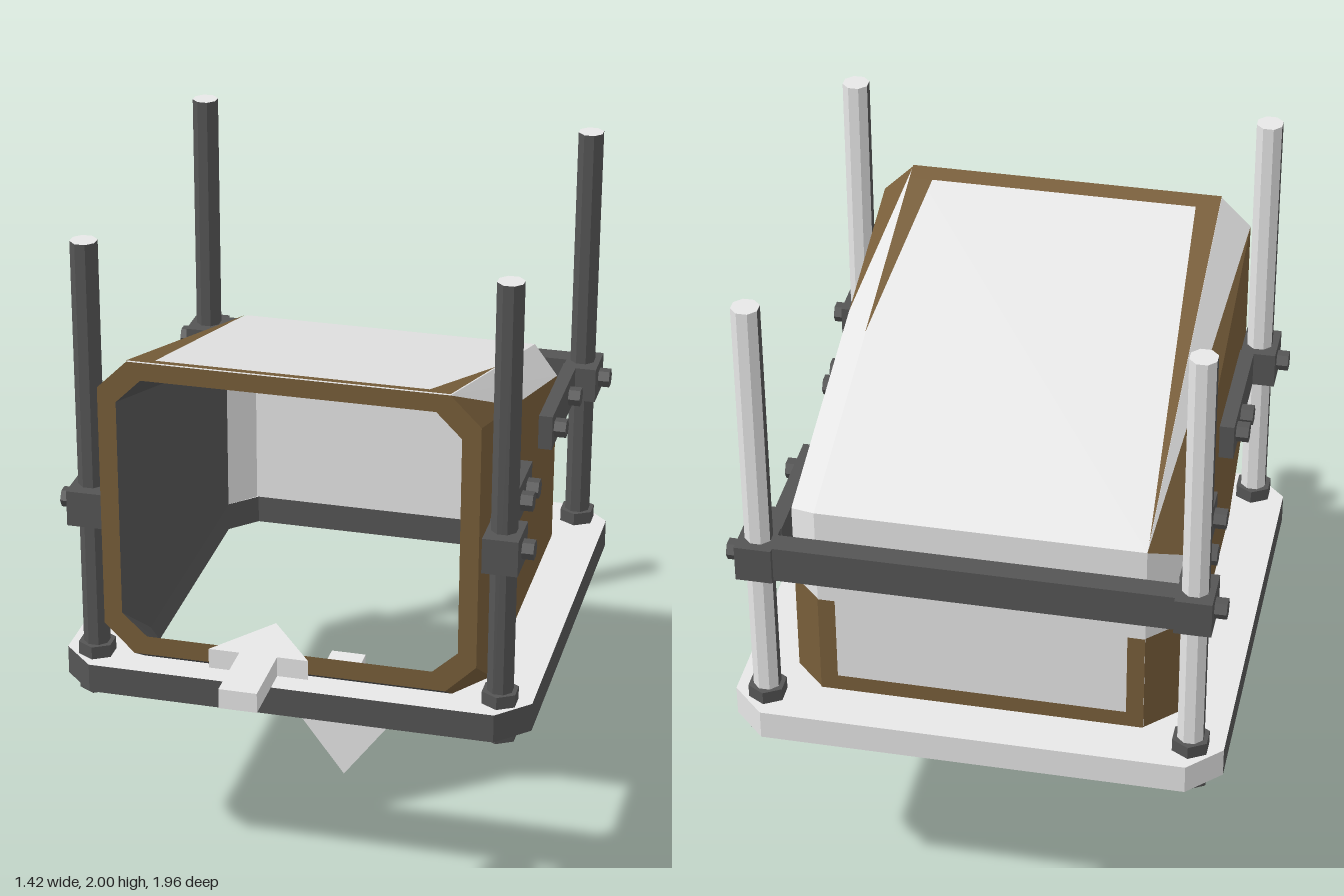
import * as THREE from 'three';

const paint = (name, color, side = THREE.FrontSide) => {
  const m = new THREE.MeshStandardMaterial({ color, side, flatShading: true });
  m.name = name;
  return m;
};
const vec = (x, y, z) => new THREE.Vector3(x, y, z);

// Octagon as a shape, between x = +-hx and y0..y1, with cut corners
function octagon(hx, y0, y1, c) {
  const s = new THREE.Shape();
  [[hx, y0 + c], [hx, y1 - c], [hx - c, y1], [c - hx, y1], [-hx, y1 - c], [-hx, y0 + c], [c - hx, y0], [hx - c, y0]]
    .forEach(([x, y], i) => (i ? s.lineTo(x, y) : s.moveTo(x, y)));
  return s;
}

// Loop of eight points from four [x, y, z] on the +x half, mirrored to -x
function mirrorLoop([lowSide, topSide, top, low]) {
  const v = (p, s) => vec(p[0] * s, p[1], p[2]);
  return [v(lowSide, 1), v(topSide, 1), v(top, 1), v(top, -1), v(topSide, -1), v(lowSide, -1), v(low, -1), v(low, 1)];
}

// Geometry from a list of flat polygons
function polygons(list) {
  const pts = [];
  for (const p of list) for (let i = 2; i < p.length; i++) pts.push(p[0], p[i - 1], p[i]);
  const g = new THREE.BufferGeometry().setFromPoints(pts);
  g.computeVertexNormals();
  return g;
}

// Second material on faces that look backward or upward
function splitRearAndTop(geo) {
  const g = geo.toNonIndexed();
  g.clearGroups();
  const t = new THREE.Triangle(), n = vec(0, 0, 0);
  for (let i = 0; i < g.attributes.position.count; i += 3) {
    t.setFromAttributeAndIndices(g.attributes.position, i, i + 1, i + 2);
    t.getNormal(n);
    g.addGroup(i, 3, n.z < -0.3 || n.y > 0.5 ? 1 : 0);
  }
  return g;
}

export function createModel() {
  const model = new THREE.Group();
  model.name = 'ductHood';
  const dark = paint('darkMetal', 0x555555);
  const liner = paint('darkLining', 0x545454, THREE.DoubleSide);
  const white = paint('paleSheet', 0xececec, THREE.DoubleSide);
  const brown = paint('brownCasing', 0x785e3a, THREE.DoubleSide);

  const add = (name, geo, mat, x = 0, y = 0, z = 0) => {
    const m = new THREE.Mesh(geo, mat);
    m.name = name;
    m.position.set(x, y, z);
    model.add(m);
    return m;
  };
  const box = (name, x0, x1, y0, y1, z0, z1) =>
    add(name, new THREE.BoxGeometry(Math.abs(x1 - x0), y1 - y0, z1 - z0), dark,
      (x0 + x1) / 2, (y0 + y1) / 2, (z0 + z1) / 2);

  // Hood: front opening, bend and bottom opening, for outer and inner skins
  const skin = (front, bend, bottom) => [front, bend, bottom].map(mirrorLoop);
  const lowOut = [[0.56, 0.68, 0.215], [0.47, 0.68, 0.344]];
  const lowIn = [[0.505, 0.68, 0.17], [0.43, 0.68, 0.27]];
  const [F, M, B] = skin(
    [[0.56, 0.83, 0.44], [0.56, 1.59, 0.44], [0.47, 1.68, 0.44], [0.47, 0.74, 0.44]],
    [lowOut[0], [0.56, 1.24, -0.74], [0.47, 1.3, -0.83], lowOut[1]],
    [lowOut[0], [0.56, 0.68, -0.74], [0.47, 0.68, -0.83], lowOut[1]]);
  const [f, m, b] = skin(
    [[0.505, 0.87, 0.44], [0.505, 1.55, 0.44], [0.43, 1.625, 0.44], [0.43, 0.8, 0.44]],
    [lowIn[0], [0.505, 1.2, -0.7], [0.43, 1.26, -0.78], lowIn[1]],
    [lowIn[0], [0.505, 0.68, -0.7], [0.43, 0.68, -0.78], lowIn[1]]);

  const pale = [], casing = [], paleLining = [], darkLining = [], rim = [];
  for (let i = 0; i < 8; i++) {
    const j = (i + 1) % 8;
    if ([0, 4, 5, 7].includes(i)) casing.push([F[i], M[i], M[j], F[j]]);
    (i === 2 || i === 6 ? paleLining : darkLining).push([f[i], f[j], m[j], m[i]]);
    rim.push([F[i], F[j], f[j], f[i]]);
  }
  for (const i of [0, 4]) {
    casing.push([M[i], B[i], B[i + 1], M[i + 1]]);
    darkLining.push([m[i], m[i + 1], b[i + 1], b[i]]);
  }
  // Roof, rear wall and two-tone corner panels
  const q = F[1].clone().lerp(M[1], 0.4);
  pale.push([F[2], M[2], M[3], F[3]], [M[2], B[2], B[3], M[3]], [F[2], q, M[1], M[2]], [F[3], M[3], F[4]]);
  casing.push([F[1], q, F[2]], [M[3], M[4], F[4]]);
  for (const i of [1, 3]) {
    const p = M[i].clone().setY(1), r = M[i + 1].clone().setY(1);
    pale.push([M[i], p, r, M[i + 1]]);
    casing.push([p, B[i], B[i + 1], r]);
  }
  for (const i of [1, 2, 3]) paleLining.push([m[i], m[i + 1], b[i + 1], b[i]]);
  add('hoodPalePanels', polygons(pale), white);
  add('hoodCasing', polygons(casing), brown);
  add('lowerLip', polygons([[F[6], M[6], M[7], F[7]]]), liner);
  add('paleLining', polygons(paleLining), white);
  add('darkLining', polygons(darkLining), liner);
  add('openingRim', polygons(rim), brown);

  // Brown edging on the roof and rear wall
  const roof = (x, z) => vec(x, 1.684 + (z - 0.44) * 0.2992, z);
  const rear = (x, y) => vec(x, y, -0.833);
  add('roofEdging', polygons([
    [roof(-0.47, 0.44), roof(0.47, 0.44), roof(0.47, 0.39), roof(-0.47, 0.39)],
    [roof(0.4, 0.39), roof(0.47, 0.39), roof(0.47, -0.2)],
    [roof(-0.47, 0.39), roof(-0.4, 0.39), roof(-0.47, -0.8)],
  ]), brown);
  add('rearEdging', polygons([
    [rear(0.47, 0.68), rear(-0.47, 0.68), rear(-0.47, 0.73), rear(0.47, 0.73)],
    [rear(0.47, 0.73), rear(0.42, 0.73), rear(0.42, 1), rear(0.47, 1)],
    [rear(-0.42, 0.73), rear(-0.47, 0.73), rear(-0.47, 1), rear(-0.42, 1)],
  ]), brown);

  // Base frame: a flat ring with cut corners
  const ring = octagon(0.71, -0.98, 0.44, 0.095);
  ring.holes.push(octagon(0.505, -0.78, 0.27, 0.08));
  const base = new THREE.ExtrudeGeometry(ring, { depth: 0.09, bevelEnabled: false });
  base.rotateX(Math.PI / 2);
  add('baseFrame', splitRearAndTop(base), [dark, white], 0, 0.68, 0);

  // Rods with nuts, clamps, side brackets and bolts
  const hex = (r, h) => new THREE.CylinderGeometry(r, r, h, 6);
  const rodGeo = splitRearAndTop(new THREE.CylinderGeometry(0.04, 0.04, 1.43, 8, 1, false, Math.PI / 8));
  const bolt = (s, x, z) => {
    add('bolt', hex(0.03, 0.04), dark, s * x, 1.185, z).rotation.z = Math.PI / 2;
  };
  for (const s of [1, -1]) {
    for (const z of [0.35, -0.885]) {
      add('rod', rodGeo, [dark, white], s * 0.615, 1.285, z);
      add('upperNut', hex(0.057, 0.04), dark, s * 0.615, 0.7, z);
      add('lowerNut', hex(0.057, 0.025), dark, s * 0.615, 0.578, z);
      box('clamp', s * 0.565, s * 0.67, 1.13, 1.24, z - 0.065, z + 0.075);
      bolt(s, 0.685, z);
    }
    box('frontBracket', s * 0.562, s * 0.605, 1.13, 1.24, -0.11, 0.3);
    box('rearBracket', s * 0.562, s * 0.605, 1.13, 1.24, -0.84, -0.43);
    for (const z of [0.045, -0.045, -0.48, s > 0 ? -0.72 : -0.65]) bolt(s, 0.622, z);
  }
  box('rearBar', -0.58, 0.58, 1.13, 1.24, -0.935, -0.87);

  // Flow arrows: one into the front opening, one out of the bottom
  const arrow = new THREE.Shape([[0, 0], [0.145, 0.195], [0.055, 0.195], [0.055, 0.41], [-0.055, 0.41], [-0.055, 0.195], [-0.145, 0.195]]
    .map(([x, y]) => new THREE.Vector2(x, y)));
  const arrowGeo = new THREE.ExtrudeGeometry(arrow, { depth: 0.06, bevelEnabled: false });
  add('outflowArrow', arrowGeo, white, 0, 0, -0.3);
  add('inflowArrow', arrowGeo, white, 0, 0.97, 0.57).rotation.x = Math.PI / 2;

  return model;
}
